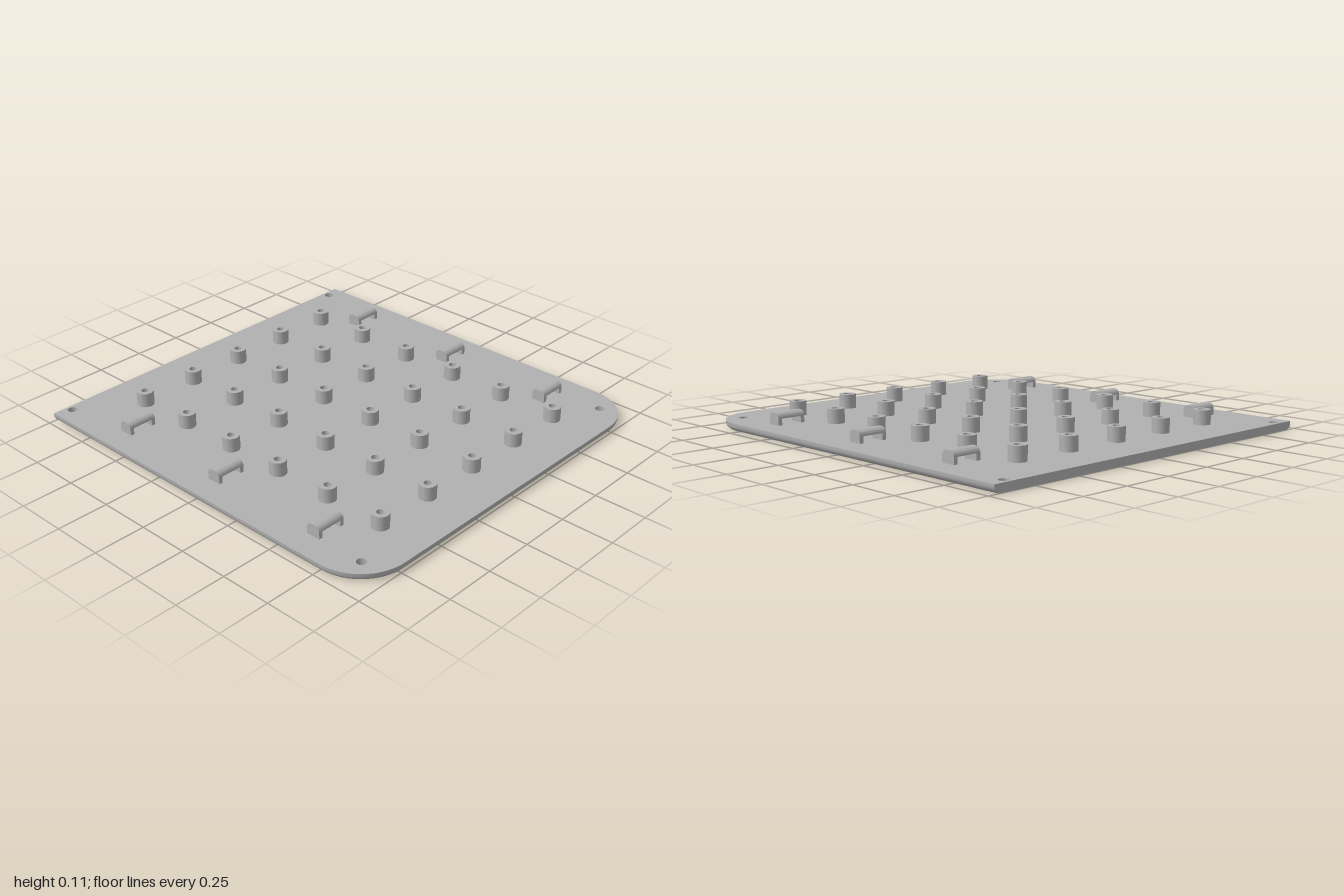
import * as THREE from 'three';
import { toCreasedNormals } from 'three/addons/utils/BufferGeometryUtils.js';

const THICK = 0.04, EDGE = 0.03;
const HOLES = [[-0.965, 0.887], [-0.965, -0.887], [0.87, 0.843], [0.87, -0.843]];
const HOLE_R = 0.023;

// Plate outline, square at the left end and rounded at the other, shrunk by an inset
function outline(inset) {
  const pts = [new THREE.Vector2(-1, 0.97 - inset), new THREE.Vector2(-1, -0.97 + inset)];
  for (const side of [-1, 1]) {
    for (let i = 0; i <= 16; i++) {
      const a = (side < 0 ? -Math.PI / 2 : 0) + (i / 16) * Math.PI / 2;
      const r = 0.24 - inset;
      pts.push(new THREE.Vector2(0.76 + r * Math.cos(a), side * 0.73 + r * Math.sin(a)));
    }
  }
  return pts;
}

// Flat plate face with the screw holes
function faceGeometry(inset) {
  const shape = new THREE.Shape(outline(inset));
  for (const [x, y] of HOLES) shape.holes.push(new THREE.Path().absarc(x, y, HOLE_R, 0, Math.PI * 2, true));
  return new THREE.ShapeGeometry(shape, 12);
}

// Rim lofted through inset outlines, rounded along the bottom
function rimGeometry() {
  const rings = [];
  for (let i = 0; i <= 6; i++) {
    const a = (i / 6) * Math.PI / 2;
    rings.push({ y: EDGE * (1 - Math.cos(a)), pts: outline(EDGE * (1 - Math.sin(a))) });
  }
  rings.push({ y: THICK, pts: outline(0) });
  const n = rings[0].pts.length, pos = [], idx = [];
  for (const { y, pts } of rings) for (const p of pts) pos.push(p.x, y, -p.y);
  for (let j = 0; j < rings.length - 1; j++) {
    for (let i = 0; i < n; i++) {
      const a = j * n + i, b = j * n + (i + 1) % n;
      idx.push(a, b, b + n, a, b + n, a + n);
    }
  }
  const geo = new THREE.BufferGeometry();
  geo.setAttribute('position', new THREE.Float32BufferAttribute(pos, 3));
  geo.setIndex(idx);
  return toCreasedNormals(geo, 0.6);
}

// Hollow post turned from its section
function postGeometry() {
  const section = [[0.018, THICK], [0.018, 0.11], [0.041, 0.11], [0.041, THICK]];
  // Separate bands keep the rims crisp
  const geo = new THREE.LatheGeometry(section.map(([r, y]) => new THREE.Vector2(r, y)).reverse(), 28);
  return toCreasedNormals(geo, 0.6);
}

// Slice of the loop's round-shouldered cross-section, from y0 upward
function loopSlice(y0, depth) {
  const w = 0.035, top = 0.098, r = 0.027;
  const s = new THREE.Shape();
  s.moveTo(-w, y0);
  s.lineTo(w, y0);
  s.lineTo(w, Math.max(y0, top - r));
  s.absarc(w - r, top - r, r, 0, Math.PI / 2, false);
  s.absarc(-w + r, top - r, r, Math.PI / 2, Math.PI, false);
  s.closePath();
  const geo = new THREE.ExtrudeGeometry(s, { depth, bevelEnabled: false, curveSegments: 8 });
  geo.translate(0, 0, -depth / 2);
  return toCreasedNormals(geo, 0.6);
}

export function createModel() {
  const model = new THREE.Group();
  model.name = 'mountingPlate';
  const grey = new THREE.MeshStandardMaterial({ color: 0xb0b0b0 });
  grey.name = 'grey';
  const greyInner = new THREE.MeshStandardMaterial({ color: 0xb0b0b0, side: THREE.DoubleSide });
  greyInner.name = 'greyDoubleSided';

  const add = (parent, name, geo, mat = grey, x = 0, y = 0, z = 0) => {
    const mesh = new THREE.Mesh(geo, mat);
    mesh.name = name;
    mesh.position.set(x, y, z);
    parent.add(mesh);
    return mesh;
  };

  // Base plate
  const plate = new THREE.Group();
  plate.name = 'plate';
  model.add(plate);
  add(plate, 'plateTop', faceGeometry(0).rotateX(-Math.PI / 2), grey, 0, THICK, 0);
  add(plate, 'plateBottom', faceGeometry(EDGE).rotateX(Math.PI / 2));
  add(plate, 'plateRim', rimGeometry());
  const holeWall = new THREE.CylinderGeometry(HOLE_R, HOLE_R, THICK, 24, 1, true);
  for (const [x, z] of HOLES) add(plate, 'screwHoleWall', holeWall, greyInner, x, THICK / 2, z);

  // Grid of hollow posts
  const posts = new THREE.Group();
  posts.name = 'posts';
  model.add(posts);
  const post = postGeometry();
  for (let row = -2; row <= 2; row++) {
    for (let col = 0; col < 6; col++) {
      add(posts, 'post', post, greyInner, (col - 2.5) * 0.303, 0, row * 0.303);
    }
  }

  // Cable loops along the front and back edges
  const bar = loopSlice(0.074, 0.145), leg = loopSlice(THICK, 0.02);
  for (const z of [-0.777, 0.777]) {
    for (const x of [-0.606, 0, 0.606]) {
      const loop = new THREE.Group();
      loop.name = 'cableLoop';
      loop.position.set(x, 0, z);
      add(loop, 'loopBar', bar);
      for (const side of [-1, 1]) add(loop, 'loopLeg', leg, grey, 0, 0, side * 0.0625);
      model.add(loop);
    }
  }
  return model;
}
